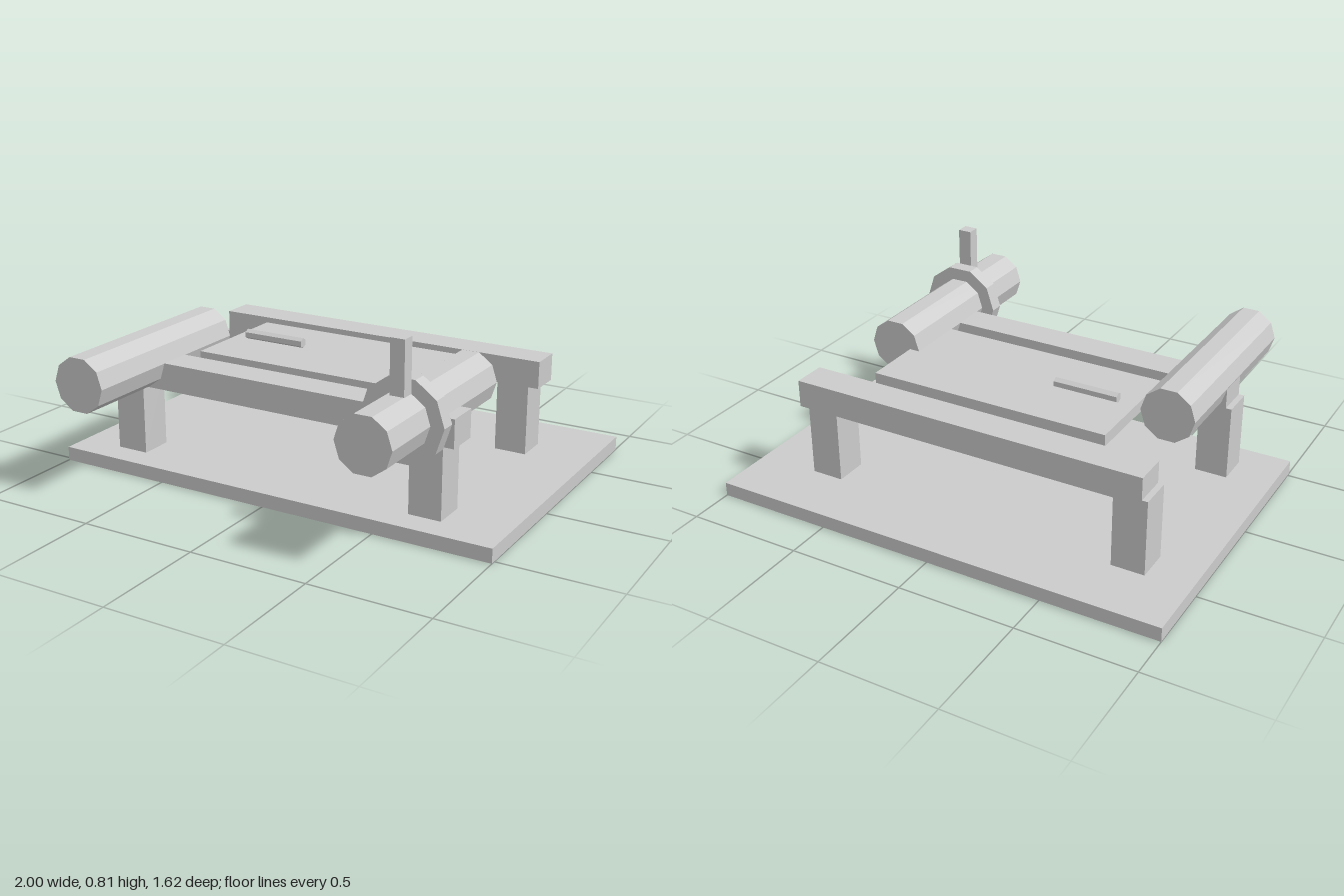
import * as THREE from 'three';

const material = new THREE.MeshStandardMaterial({ color: 0xcccccc, flatShading: true });

export function createModel() {
  const model = new THREE.Group();
  model.name = 'frameWithRollers';

  const add = (name, geometry) => {
    const mesh = new THREE.Mesh(geometry, material);
    mesh.name = name;
    model.add(mesh);
    return mesh;
  };

  // Box given by its limits on each axis
  const box = (name, [x0, x1], [y0, y1], [z0, z1]) =>
    add(name, new THREE.BoxGeometry(x1 - x0, y1 - y0, z1 - z0))
      .position.set((x0 + x1) / 2, (y0 + y1) / 2, (z0 + z1) / 2);

  // Faceted bar along x or z, with a corner pointing sideways before turning
  const bar = (name, axis, radius, length, sides, position) => {
    const geometry = new THREE.CylinderGeometry(radius, radius, length, sides, 1, false, Math.PI / 2);
    if (axis === 'x') geometry.rotateZ(Math.PI / 2);
    else geometry.rotateX(Math.PI / 2);
    add(name, geometry).position.set(...position);
  };

  box('base', [-1, 1], [0, 0.06], [-0.81, 0.52]);

  // Two trestles, each a beam on a pair of legs
  for (const [side, z] of [['front', [0.26, 0.403]], ['back', [-0.55, -0.407]]]) {
    box(side + 'Beam', [-0.785, 0.78], [0.362, 0.48], z);
    box(side + 'RightLeg', [-0.81, -0.668], [0.06, 0.385], z);
    box(side + 'LeftLeg', [0.595, 0.735], [0.06, 0.385], z);
  }

  // Flat plate between the beams, with a small rod lying on it
  box('plate', [-0.525, 0.545], [0.43, 0.48], [-0.335, 0.185]);
  bar('rod', 'x', 0.022, 0.285, 6, [-0.312, 0.503, -0.075]);

  // Long rollers resting on the front beam
  bar('rightRoller', 'z', 0.118, 0.88, 10, [-0.669, 0.479, 0.365]);
  bar('leftRoller', 'z', 0.118, 0.88, 10, [0.617, 0.479, 0.365]);

  // Collar and upright handle on the left roller
  bar('collar', 'z', 0.176, 0.063, 10, [0.616, 0.478, 0.482]);
  box('handle', [0.595, 0.655], [0.57, 0.81], [0.514, 0.57]);

  return model;
}
